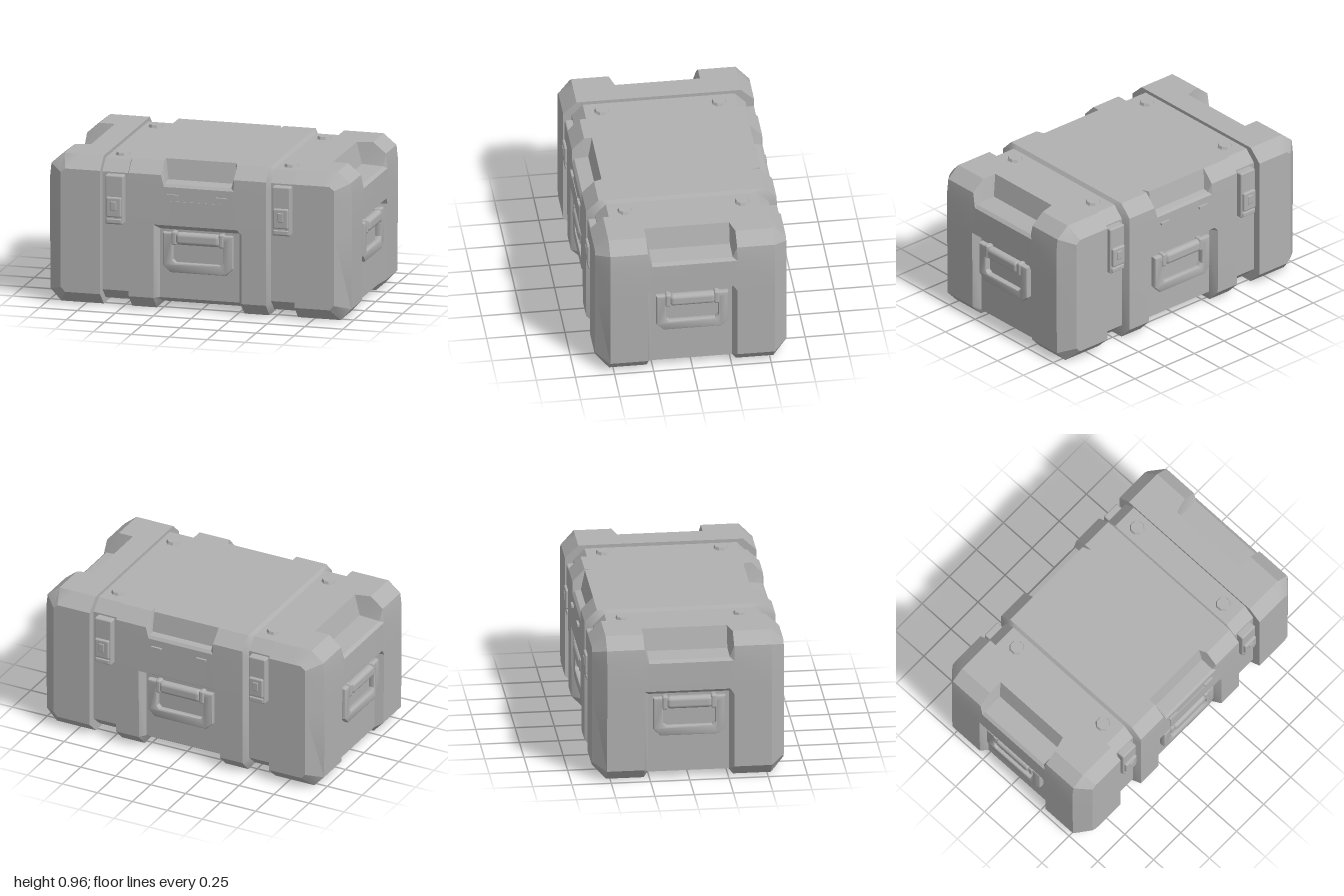
import * as THREE from 'three';
import { toCreasedNormals } from 'three/addons/utils/BufferGeometryUtils.js';
import { RoundedBoxGeometry } from 'three/addons/geometries/RoundedBoxGeometry.js';

const grey = new THREE.MeshStandardMaterial({ color: 0xb0b0b0 });
grey.name = 'case grey';

function add(parent, name, geometry, x = 0, y = 0, z = 0) {
  const mesh = new THREE.Mesh(geometry, grey);
  mesh.name = name;
  mesh.position.set(x, y, z);
  parent.add(mesh);
  return mesh;
}

// Skins [z, profile] stations; each profile is a counter-clockwise list of [x, y]
function loft(stations) {
  const out = [];
  const put = (s, i) => out.push(s[1][i][0], s[1][i][1], s[0]);
  const n = stations[0][1].length;
  for (let k = 0; k < stations.length - 1; k++) {
    const a = stations[k], b = stations[k + 1];
    for (let i = 0; i < n; i++) {
      const j = (i + 1) % n;
      put(a, i); put(a, j); put(b, j);
      put(a, i); put(b, j); put(b, i);
    }
  }
  const cap = (s, flip) => {
    const pts = s[1].map(p => new THREE.Vector2(p[0], p[1]));
    for (const [a, b, c] of THREE.ShapeUtils.triangulateShape(pts, [])) {
      put(s, a); put(s, flip ? c : b); put(s, flip ? b : c);
    }
  };
  cap(stations[0], true);
  cap(stations[stations.length - 1], false);
  const geo = new THREE.BufferGeometry();
  geo.setAttribute('position', new THREE.Float32BufferAttribute(out, 3));
  geo.computeVertexNormals();
  return toCreasedNormals(geo, 0.5);
}

// Mirrors a list of [distance, profile] stations about zero
const mirrored = list => [
  ...list.map(([d, p]) => [-d, p]),
  ...list.slice().reverse().map(([d, p]) => [d, p]),
];

// Middle of the case: strap channels, ribs, recessed panels and top notches
function middleGeometry() {
  const channel = [[0.48, 0.03], [0.555, 0.1], [0.555, 0.53], [0.555, 0.56],
    [0.555, 0.81], [0.555, 0.87], [0.485, 0.943], [0.45, 0.943]];
  const rib = [[0.53, 0], [0.608, 0.08], [0.61, 0.53], [0.61, 0.56],
    [0.61, 0.81], [0.608, 0.885], [0.53, 0.965], [0.48, 0.965]];
  const panel = [[0.5, 0.04], [0.555, 0.075], [0.555, 0.525], [0.61, 0.56], ...rib.slice(4)];
  const notch = inner => [...panel.slice(0, 4),
    [0.61, 0.81], [0.595, 0.828], [inner + 0.025, 0.835], [inner, 0.965]];
  // u is the back direction; the front half is the negative side
  const full = (back, front = back) => [
    ...back, ...front.slice().reverse().map(([u, v]) => [-u, v])];
  const geo = loft(mirrored([
    [0.66, full(channel)], [0.47, full(channel)],
    [0.452, full(rib)], [0.29, full(rib)],
    [0.262, full(panel)], [0.24, full(panel)],
    [0.22, full(notch(0.53), notch(0.48))],
  ]));
  return geo.rotateY(Math.PI / 2);
}

// Chamfered end block with a handle recess and a notch in its top edge
function endGeometry() {
  const corner = [[0.64, 0.08], [0.87, 0.08], [0.9, 0.11], [0.9, 0.57], [0.9, 0.61],
    [0.9, 0.8], [0.9, 0.86], [0.87, 0.885], [0.8, 0.885], [0.64, 0.885]];
  const full = [[0.64, 0], [0.92, 0], [0.99, 0.075], [0.995, 0.57], [0.995, 0.61],
    [0.995, 0.8], [0.985, 0.895], [0.9, 0.965], [0.8, 0.965], [0.64, 0.965]];
  const recess = [[0.64, 0], [0.89, 0.025], [0.94, 0.045], [0.94, 0.575], [0.995, 0.61],
    [0.995, 0.8], [0.975, 0.818], [0.835, 0.825], [0.8, 0.965], [0.64, 0.965]];
  return loft(mirrored([[0.61, corner], [0.525, full], [0.285, full], [0.258, recess]]));
}

// Hinged carrying handle, facing +z
function makeHandle() {
  const g = new THREE.Group();
  g.name = 'handle';
  const s = new THREE.Shape();
  [[-0.22, 0.12], [-0.22, -0.08], [-0.18, -0.12], [0.18, -0.12], [0.22, -0.08], [0.22, 0.12]]
    .forEach(([x, y], i) => (i ? s.lineTo(x, y) : s.moveTo(x, y)));
  const hole = new THREE.Path();
  [[-0.175, 0.09], [0.175, 0.09], [0.175, -0.05], [0.15, -0.075], [-0.15, -0.075], [-0.175, -0.05]]
    .forEach(([x, y], i) => (i ? hole.lineTo(x, y) : hole.moveTo(x, y)));
  s.holes.push(hole);
  const frame = new THREE.ExtrudeGeometry(s, {
    depth: 0.02, bevelEnabled: true, bevelThickness: 0.012, bevelSize: 0.01, bevelSegments: 2,
  });
  add(g, 'handleFrame', toCreasedNormals(frame, 0.6), 0, 0, 0.018);
  add(g, 'handleGrip', new RoundedBoxGeometry(0.29, 0.08, 0.06, 3, 0.025), 0, 0.095, 0.035);
  for (const side of [-1, 1]) {
    add(g, 'handleCollar', new RoundedBoxGeometry(0.035, 0.09, 0.055, 2, 0.012), side * 0.155, 0.095, 0.03);
  }
  return g;
}

// Toggle latch, facing +z
function makeLatch() {
  const g = new THREE.Group();
  g.name = 'latch';
  add(g, 'latchBase', new RoundedBoxGeometry(0.12, 0.32, 0.07, 2, 0.01), 0, 0, 0.015);
  add(g, 'latchLever', new RoundedBoxGeometry(0.1, 0.13, 0.035, 2, 0.01), 0, -0.045, 0.05);
  add(g, 'latchTongue', new RoundedBoxGeometry(0.04, 0.06, 0.02, 2, 0.006), 0, -0.035, 0.063);
  add(g, 'latchFoot', new RoundedBoxGeometry(0.1, 0.03, 0.02, 2, 0.006), 0, -0.137, 0.05);
  return g;
}

export function createModel() {
  const model = new THREE.Group();
  model.name = 'equipmentCase';
  add(model, 'middleBody', middleGeometry());

  const endGeo = endGeometry();
  const padGeo = toCreasedNormals(new THREE.CylinderGeometry(0.042, 0.054, 0.03, 8).rotateY(Math.PI / 8), 0.5);
  for (const side of [1, -1]) {
    // End blocks and their handles
    const end = new THREE.Group();
    end.name = side > 0 ? 'leftEnd' : 'rightEnd';
    add(end, 'endBlock', endGeo);
    const endHandle = makeHandle();
    endHandle.position.set(0.938, 0.432, 0);
    endHandle.rotation.y = Math.PI / 2;
    end.add(endHandle);
    end.rotation.y = side > 0 ? 0 : Math.PI;
    model.add(end);

    // Front and back fittings
    const face = new THREE.Group();
    face.name = side > 0 ? 'frontFittings' : 'backFittings';
    const handle = makeHandle();
    handle.position.set(0, 0.382, 0.553);
    face.add(handle);
    if (side > 0) add(face, 'labelPlate', new THREE.BoxGeometry(0.33, 0.12, 0.008), -0.015, 0.66, 0.61);
    for (const s of [-1, 1]) {
      const latch = makeLatch();
      latch.position.set(s * 0.55, 0.7, 0.555);
      face.add(latch);
      add(face, 'hingeTab', new THREE.BoxGeometry(0.07, 0.014, 0.025), s * 0.16, 0.757, 0.612);
      add(face, 'topPad', padGeo, s * 0.555, 0.946, 0.375);
      add(face, 'bottomPad', padGeo, s * 0.555, 0.027, 0.375).rotation.x = Math.PI;
    }
    face.rotation.y = side > 0 ? 0 : Math.PI;
    model.add(face);
  }
  return model;
}
